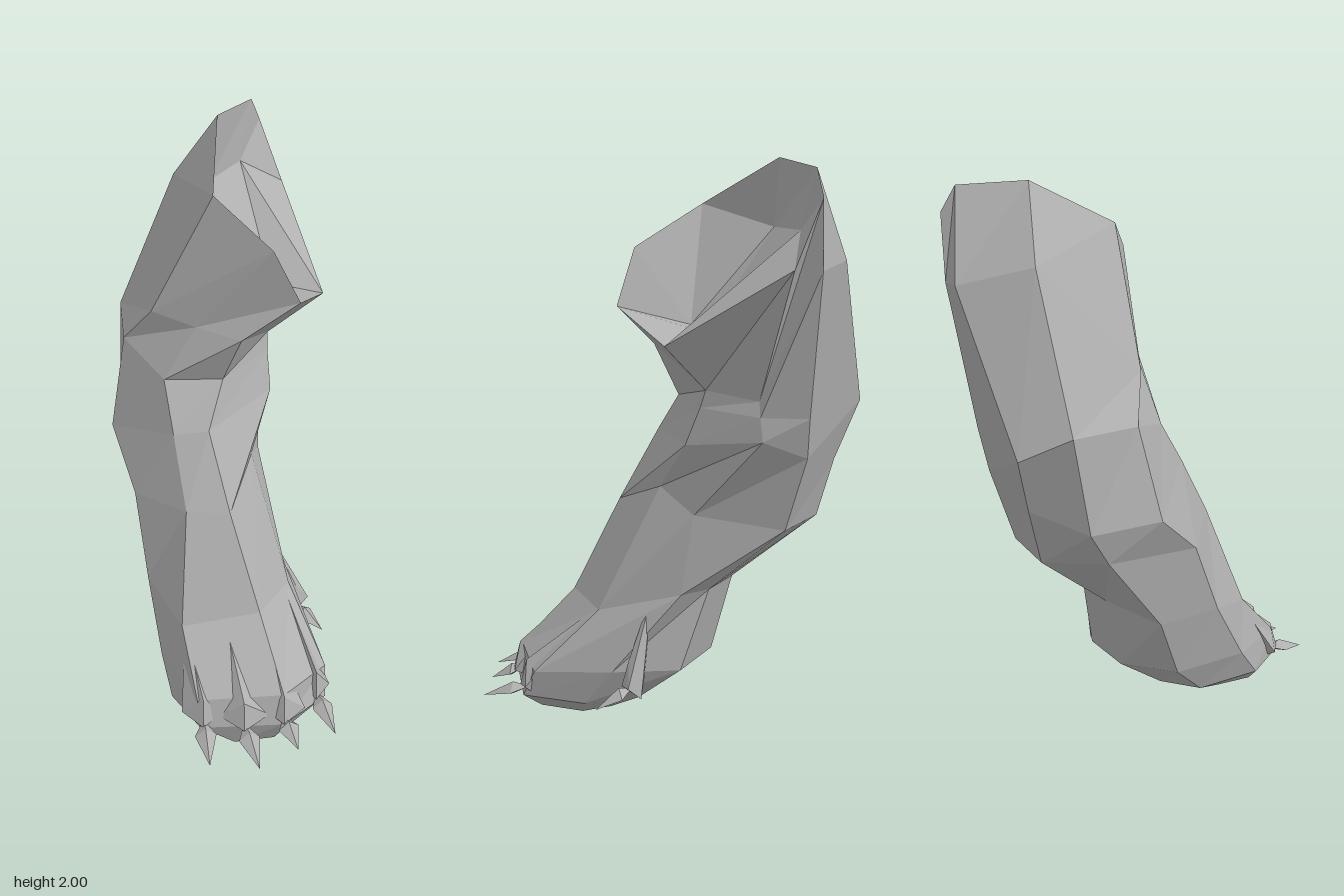
import * as THREE from 'three';
import { ConvexGeometry } from 'three/addons/geometries/ConvexGeometry.js';

const SIDES = 8;
const grey = new THREE.MeshStandardMaterial({ color: 0xb0b0b0, flatShading: true, side: THREE.DoubleSide });
grey.name = 'stone grey';

// Rings run from front, through +x, the back and -x; sections run downward.
function loft(rings, bottomCentre) {
  const pos = [];
  const same = (a, b) => a.every((v, k) => v === b[k]);
  const tri = (a, b, c) => {
    if (!same(a, b) && !same(b, c) && !same(a, c)) pos.push(...a, ...b, ...c);
  };
  for (let i = 0; i < SIDES; i++) {
    const j = (i + 1) % SIDES;
    for (let r = 0; r < rings.length - 1; r++) {
      const up = rings[r], low = rings[r + 1];
      tri(low[i], low[j], up[j]);
      tri(low[i], up[j], up[i]);
    }
    if (bottomCentre) {
      const end = rings[rings.length - 1];
      tri(bottomCentre, end[j], end[i]);
    }
  }
  const g = new THREE.BufferGeometry();
  g.setAttribute('position', new THREE.Float32BufferAttribute(pos, 3));
  g.computeVertexNormals();
  return g;
}

function part(name, geometry) {
  const m = new THREE.Mesh(geometry, grey);
  m.name = name;
  return m;
}

// Flat faceted claw: base, two shoulders, upper and lower ridge, tip
function claw(base, tip, width) {
  const a = new THREE.Vector3(...base), t = new THREE.Vector3(...tip);
  const dir = t.clone().sub(a);
  const side = new THREE.Vector3(dir.z, 0, -dir.x).normalize().multiplyScalar(width / 2);
  const mid = a.clone().lerp(t, 0.35);
  return new ConvexGeometry([
    a, t, mid.clone().add(side), mid.clone().sub(side),
    mid.clone().add(new THREE.Vector3(0, 0.03, 0)), mid.clone().add(new THREE.Vector3(0, -0.015, 0)),
  ]);
}

// Ridged toe running from the instep down to the claw root
function toe(root, x, y, z, w) {
  const v = (a, b, c) => new THREE.Vector3(a, b, c);
  return new ConvexGeometry([
    v(...root), v(x, y + 0.1, z - 0.03), v(x - w, y + 0.02, z - 0.06), v(x + w, y + 0.02, z - 0.06),
    v(x, y, z), v(x, y - 0.03, z - 0.08),
  ]);
}

export function createModel() {
  const leg = new THREE.Group();
  leg.name = 'leg';

  // Thigh with a hollow cut face whose floor spans four deep points
  const pit = [0.12, 1.47, -0.18], lip = [0.17, 1.46, -0.26];
  const fold = [0.07, 1.79, -0.54], deep = [-0.04, 1.78, -0.39];
  const floor = Array(SIDES).fill(lip);
  const hollow = [pit, lip, fold, fold, fold, deep, deep, pit];
  const rim = [
    [0.25, 1.53, 0.02], [0.345, 1.44, -0.22], [0.22, 1.69, -0.6], [0.14, 1.9, -0.65],
    [0.11, 1.985, -0.61], [-0.01, 2, -0.42], [-0.03, 1.84, -0.13], [0.16, 1.71, 0.01],
  ];
  const haunch = [
    [0.06, 1.38, 0], [0.16, 1.27, -0.26], [0.13, 1.25, -0.44], [0.13, 1.68, -0.65],
    [0.01, 1.7, -0.67], [-0.16, 1.77, -0.48], [-0.24, 1.41, -0.16], [-0.09, 1.39, -0.08],
  ];
  const knee = [
    [0, 1.2, -0.06], [0.16, 1.21, -0.24], [0.14, 1.2, -0.45], [0.07, 1.2, -0.59],
    [-0.26, 1.2, -0.61], [-0.36, 1.28, -0.47], [-0.34, 1.27, -0.23], [-0.2, 1.2, -0.06],
  ];
  leg.add(part('thigh', loft([floor, hollow, rim, haunch, knee])));

  // Shin slanting forward to the ankle
  const upperShin = [
    [-0.05, 1.06, 0.05], [0.17, 1.08, -0.19], [0.14, 1.12, -0.46], [0.04, 1.06, -0.57],
    [-0.2, 1, -0.55], [-0.37, 0.95, -0.42], [-0.39, 0.95, -0.17], [-0.17, 1.04, 0.04],
  ];
  const lowerShin = [
    [0.02, 0.8, 0.17], [0.1, 0.9, -0.05], [0.13, 0.83, -0.2], [0.03, 0.8, -0.49],
    [-0.18, 0.8, -0.5], [-0.34, 0.82, -0.34], [-0.31, 0.78, 0.01], [-0.13, 0.81, 0.17],
  ];
  const ankle = [
    [0.12, 0.47, 0.3], [0.23, 0.46, 0.12], [0.16, 0.55, -0.17], [0.06, 0.55, -0.22],
    [-0.1, 0.55, -0.22], [-0.27, 0.5, -0.1], [-0.27, 0.5, 0.13], [-0.15, 0.43, 0.32],
  ];
  leg.add(part('shin', loft([knee, upperShin, lowerShin, ankle])));

  // Paw with a rounded sole
  const instep = [
    [0.2, 0.25, 0.48], [0.355, 0.23, 0.31], [0.27, 0.26, 0.04], [0.13, 0.26, -0.15],
    [-0.08, 0.27, -0.15], [-0.22, 0.26, 0], [-0.225, 0.26, 0.27], [-0.1, 0.24, 0.49],
  ];
  const pad = [
    [0.2, 0.13, 0.5], [0.355, 0.13, 0.36], [0.28, 0.12, 0.15], [0.12, 0.11, 0.03],
    [-0.04, 0.12, 0.04], [-0.17, 0.13, 0.13], [-0.19, 0.14, 0.36], [-0.09, 0.13, 0.51],
  ];
  const sole = [
    [0.17, 0.02, 0.45], [0.25, 0.05, 0.36], [0.18, 0.03, 0.23], [0.1, 0.035, 0.16],
    [0, 0.05, 0.18], [-0.1, 0.07, 0.25], [-0.13, 0.08, 0.37], [0.03, 0.02, 0.47],
  ];
  leg.add(part('paw', loft([ankle, instep, pad, sole], [0.11, 0, 0.38])));

  // Toes and claws: instep root, toe end, claw tip, toe half width
  const toes = [
    [[-0.14, 0.42, 0.31], [-0.08, 0.15, 0.53], [-0.06, 0.1, 0.66], 0.075],
    [[0, 0.44, 0.31], [0.06, 0.15, 0.55], [0.11, 0.09, 0.67], 0.09],
    [[0.12, 0.46, 0.29], [0.2, 0.15, 0.52], [0.245, 0.1, 0.59], 0.075],
    [[0.22, 0.44, 0.16], [0.32, 0.15, 0.4], [0.38, 0.1, 0.52], 0.05],
    [[0.17, 0.54, -0.06], [0.27, 0.22, 0], [0.37, 0.16, 0.04], 0.05],
  ];
  for (const [root, end, tip, w] of toes) {
    leg.add(part('toe', toe(root, ...end, w)));
    leg.add(part('claw', claw([end[0], end[1], end[2] - 0.04], tip, 0.075)));
  }
  return leg;
}
